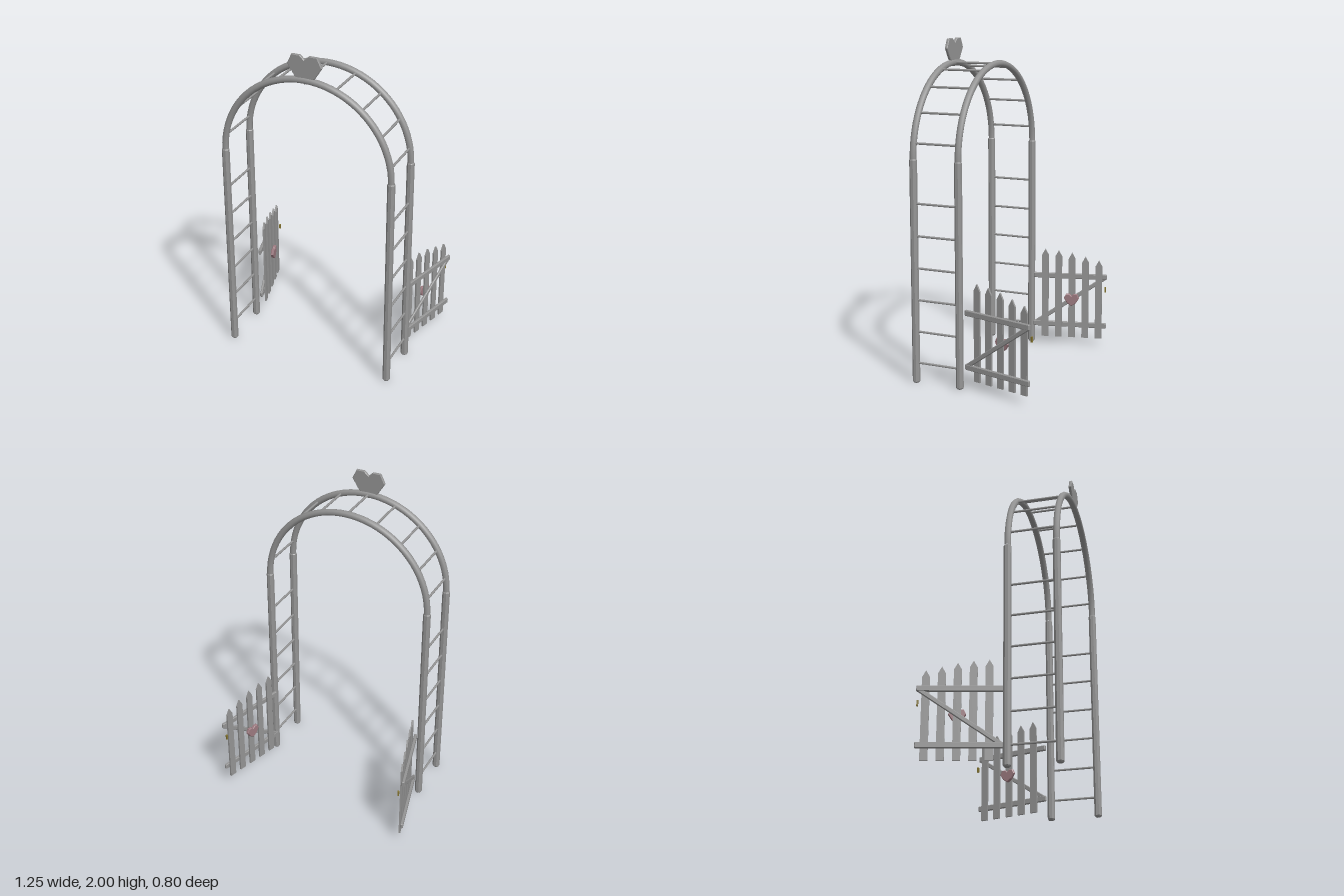
import * as THREE from 'three';

const wood = new THREE.MeshStandardMaterial({ color: 0x949494 });
wood.name = 'weathered grey';
const pink = new THREE.MeshStandardMaterial({ color: 0x9c7a80 });
pink.name = 'dusty pink';
const brass = new THREE.MeshStandardMaterial({ color: 0x857530 });
brass.name = 'dull brass';

const HALF = 0.52;      // half distance between the posts
const SPRING = 1.335;   // height where the arch starts
const ROWS = [0.38, 0.092];

function add(parent, name, geometry, material, x = 0, y = 0, z = 0) {
  const mesh = new THREE.Mesh(geometry, material);
  mesh.name = name;
  mesh.position.set(x, y, z);
  parent.add(mesh);
  return mesh;
}

// Low-poly heart, its point at the origin, centred on z
function heartGeometry(scale, depth) {
  const half = [[0.06, 0.04], [0.105, 0.11], [0.077, 0.168], [0.027, 0.168]];
  const points = [[0, 0], ...half, [0, 0.143], ...half.map(([x, y]) => [-x, y]).reverse()];
  const shape = new THREE.Shape(points.map(([x, y]) => new THREE.Vector2(x * scale, y * scale)));
  const bevel = depth * 0.2;
  const geometry = new THREE.ExtrudeGeometry(shape, {
    depth: depth - 2 * bevel, bevelThickness: bevel, bevelSize: bevel, bevelOffset: -bevel, bevelSegments: 1,
  });
  return geometry.translate(0, 0, bevel - depth / 2);
}

// Bar along x with chamfered edges and ends
function barGeometry(length, height, depth) {
  const c = 0.004, a = length / 2, b = height / 2;
  const shape = new THREE.Shape([
    [-a + c, -b], [a - c, -b], [a, -b + c], [a, b - c], [a - c, b], [-a + c, b], [-a, b - c], [-a, -b + c],
  ].map(([x, y]) => new THREE.Vector2(x, y)));
  return new THREE.ExtrudeGeometry(shape, {
    depth: depth - 2 * c, bevelThickness: c, bevelSize: c, bevelOffset: -c, bevelSegments: 1,
  }).translate(0, 0, c - depth / 2);
}

// Pointed picket standing on y = 0
function picketGeometry(height) {
  const w = 0.022, d = 0.011;
  const shape = new THREE.Shape([[-w, 0], [w, 0], [w, height - 0.04], [0, height], [-w, height - 0.04]]
    .map(([x, y]) => new THREE.Vector2(x, y)));
  return new THREE.ExtrudeGeometry(shape, { depth: d, bevelEnabled: false }).translate(0, 0, -d / 2);
}

// Octagonal post with chamfered ends
function postGeometry() {
  const r = 0.0227;
  const profile = [[0, 0], [r - 0.006, 0], [r, 0.008], [r, SPRING - 0.005], [r - 0.004, SPRING], [0, SPRING]]
    .map(([x, y]) => new THREE.Vector2(x, y));
  const geometry = new THREE.LatheGeometry(profile, 8).rotateY(Math.PI / 8).toNonIndexed();
  geometry.computeVertexNormals();
  return geometry;
}

// Gate running along local x from its hinge; out is the side carrying the rails
function createGate(side) {
  const gate = new THREE.Group();
  gate.name = side > 0 ? 'leftGate' : 'rightGate';
  const length = 0.476, low = 0.132, high = 0.457;

  for (const y of [low, high]) {
    add(gate, 'gateRail', barGeometry(length, 0.034, 0.018), wood, length / 2 - 0.006, y, 0);
  }
  const run = 0.45, rise = high - low - 0.012;
  const brace = add(gate, 'gateBrace', barGeometry(Math.hypot(run, rise), 0.026, 0.014), wood,
    length / 2 - 0.006, (low + high) / 2, 0);
  brace.rotation.z = Math.atan2(rise, run);

  [0.635, 0.628, 0.615, 0.592, 0.57].forEach((top, i) => {
    add(gate, 'gatePicket', picketGeometry(top - 0.05), wood, 0.072 + i * 0.087, 0.05, -side * 0.0145);
  });
  add(gate, 'gateHeart', heartGeometry(0.47, 0.02), pink, 0.246, 0.265, -side * 0.03);
  add(gate, 'gateLatch', new THREE.BoxGeometry(0.01, 0.032, 0.01), brass, 0.464, 0.382, -side * 0.0265);

  // Swing outward towards the back
  const swing = Math.atan2(0.46, 0.122);
  gate.rotation.y = side > 0 ? swing : Math.PI - swing;
  gate.position.set(side * 0.497, 0, 0.06);
  return gate;
}

export function createModel() {
  const model = new THREE.Group();
  model.name = 'gardenArch';

  // Posts and bent top rails
  const post = postGeometry();
  const arch = new THREE.TorusGeometry(HALF, 0.02, 8, 40, Math.PI);
  for (const z of ROWS) {
    for (const side of [-1, 1]) add(model, 'post', post, wood, side * HALF, 0, z);
    add(model, 'archRail', arch, wood, 0, SPRING, z);
  }

  // Rungs up the sides and over the arch
  const middle = (ROWS[0] + ROWS[1]) / 2;
  const rung = new THREE.CylinderGeometry(0.007, 0.007, ROWS[0] - ROWS[1], 8).rotateX(Math.PI / 2);
  for (let i = 0; i < 6; i++) {
    for (const side of [-1, 1]) add(model, 'sideRung', rung, wood, side * HALF, 0.122 + i * 0.191, middle);
  }
  for (let i = -4; i <= 4; i++) {
    const a = THREE.MathUtils.degToRad(i * 20);
    add(model, 'archRung', rung, wood, HALF * Math.sin(a), SPRING + HALF * Math.cos(a), middle);
  }

  // Heart ornament on the front rail
  add(model, 'topHeart', heartGeometry(1, 0.018), wood, 0, 1.832, 0.38);

  for (const side of [-1, 1]) model.add(createGate(side));
  return model;
}
